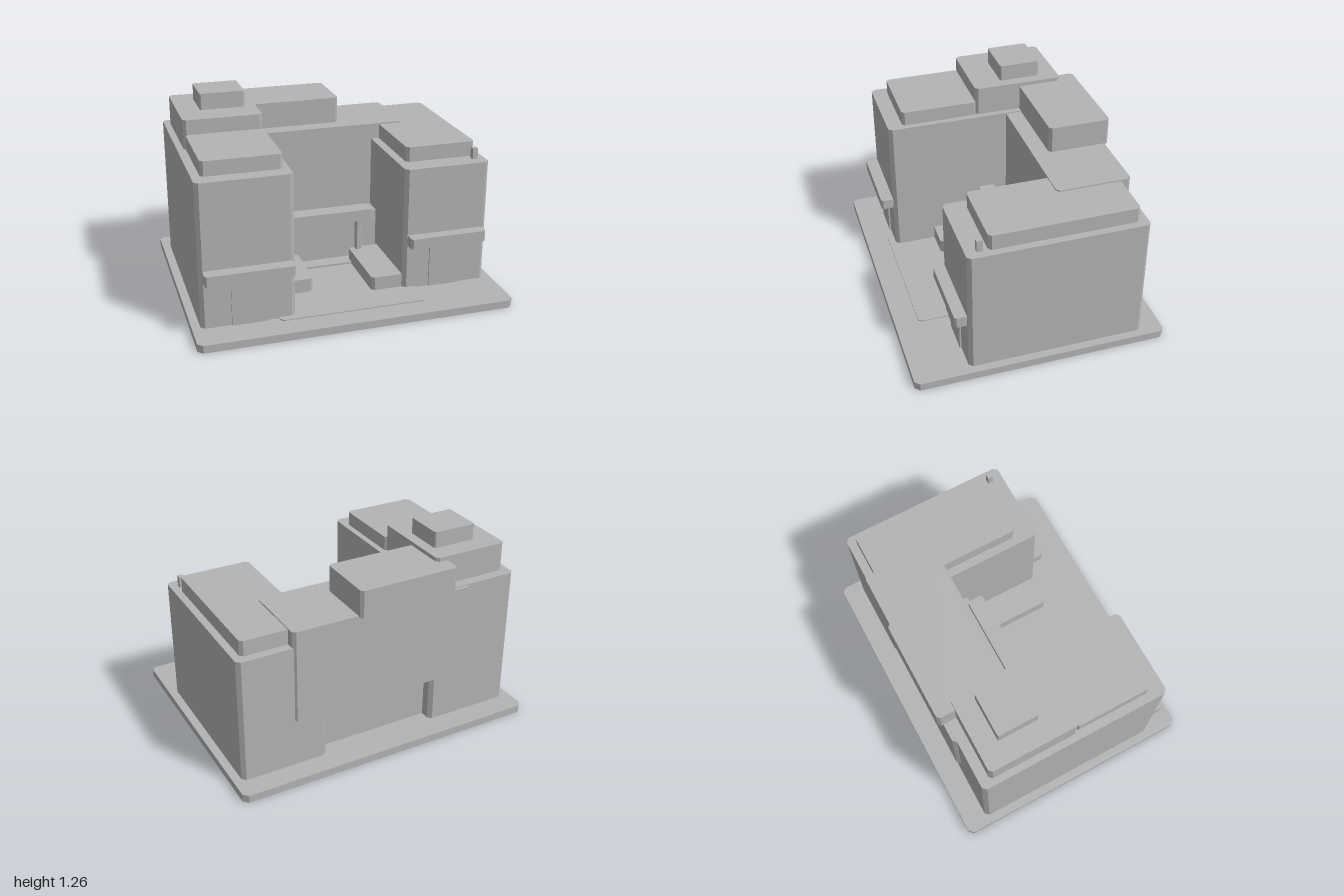
import * as THREE from 'three';

export function createModel() {
  const model = new THREE.Group();
  model.name = 'building';
  const stone = new THREE.MeshStandardMaterial({ color: 0xb3b3b3 });
  stone.name = 'grey stone';

  // Upright block with its four vertical edges cut by c
  function block(name, [x0, x1], [y0, y1], [z0, z1], c = 0) {
    const w = (x1 - x0) / 2, d = (z1 - z0) / 2;
    let geometry;
    if (c > 0) {
      const outline = new THREE.Shape([
        [-w + c, -d], [w - c, -d], [w, -d + c], [w, d - c],
        [w - c, d], [-w + c, d], [-w, d - c], [-w, -d + c],
      ].map(([x, y]) => new THREE.Vector2(x, y)));
      geometry = new THREE.ExtrudeGeometry(outline, { depth: y1 - y0, bevelEnabled: false });
      geometry.rotateX(-Math.PI / 2);
    } else {
      geometry = new THREE.BoxGeometry(2 * w, y1 - y0, 2 * d);
      geometry.translate(0, (y1 - y0) / 2, 0);
    }
    const mesh = new THREE.Mesh(geometry, stone);
    mesh.name = name;
    mesh.position.set((x0 + x1) / 2, y0, (z0 + z1) / 2);
    model.add(mesh);
  }

  // Ground slab, paving and entrance step
  block('base', [-1, 1], [0, 0.05], [-0.8, 0.8], 0.03);
  block('paving', [-0.47, 0.47], [0.05, 0.057], [-0.08, 0.65], 0.02);
  block('entranceStep', [-0.37, 0.39], [0.05, 0.07], [-0.1, 0.02]);

  // Right-hand tower (-x) with stacked roof blocks
  block('rightTower', [-0.947, -0.365], [0.05, 0.972], [-0.65, 0.605], 0.024);
  block('rightTowerFrontRoof', [-0.893, -0.405], [0.972, 1.065], [0, 0.505], 0.018);
  block('rightTowerRearRoof', [-0.905, -0.405], [0.972, 1.16], [-0.585, 0.005], 0.02);
  block('rightTowerCap', [-0.763, -0.475], [1.16, 1.265], [-0.455, -0.188], 0.008);
  block('rightTowerCanopy', [-0.925, -0.38], [0.358, 0.425], [0.6, 0.686], 0.012);
  block('rightTowerDoor', [-0.76, -0.55], [0.05, 0.35], [0.6, 0.615]);

  // Left-hand tower (+x) with its roof block and vent
  block('leftTower', [0.385, 0.947], [0.05, 0.86], [-0.66, 0.455], 0.024);
  block('leftTowerRoof', [0.44, 0.9], [0.86, 0.957], [-0.605, 0.318], 0.02);
  block('roofVent', [0.862, 0.895], [0.86, 0.932], [0.35, 0.386]);
  block('leftTowerCanopy', [0.41, 0.915], [0.352, 0.42], [0.44, 0.53], 0.012);
  block('leftTowerDoor', [0.56, 0.77], [0.05, 0.35], [0.45, 0.465]);

  // Raised middle wing over the recessed lobby
  block('middleWing', [-0.61, 0.605], [0.362, 0.965], [-0.672, -0.195], 0.02);
  block('middleRoof', [-0.48, 0.182], [0.957, 1.135], [-0.7, -0.3], 0.018);
  block('lobby', [-0.4, 0.42], [0.05, 0.39], [-0.57, -0.08]);

  // Entrance canopy, its posts and the two planters
  block('entranceCanopy', [-0.343, 0.337], [0.358, 0.435], [-0.1, 0.01], 0.014);
  for (const x of [-0.25, 0.245]) {
    block('canopyPost', [x - 0.021, x + 0.021], [0.05, 0.36], [-0.05, -0.008], 0.007);
  }
  block('rightPlanter', [-0.39, -0.175], [0.05, 0.145], [-0.05, 0.332], 0.02);
  block('leftPlanter', [0.183, 0.4], [0.05, 0.145], [-0.05, 0.436], 0.02);

  return model;
}
